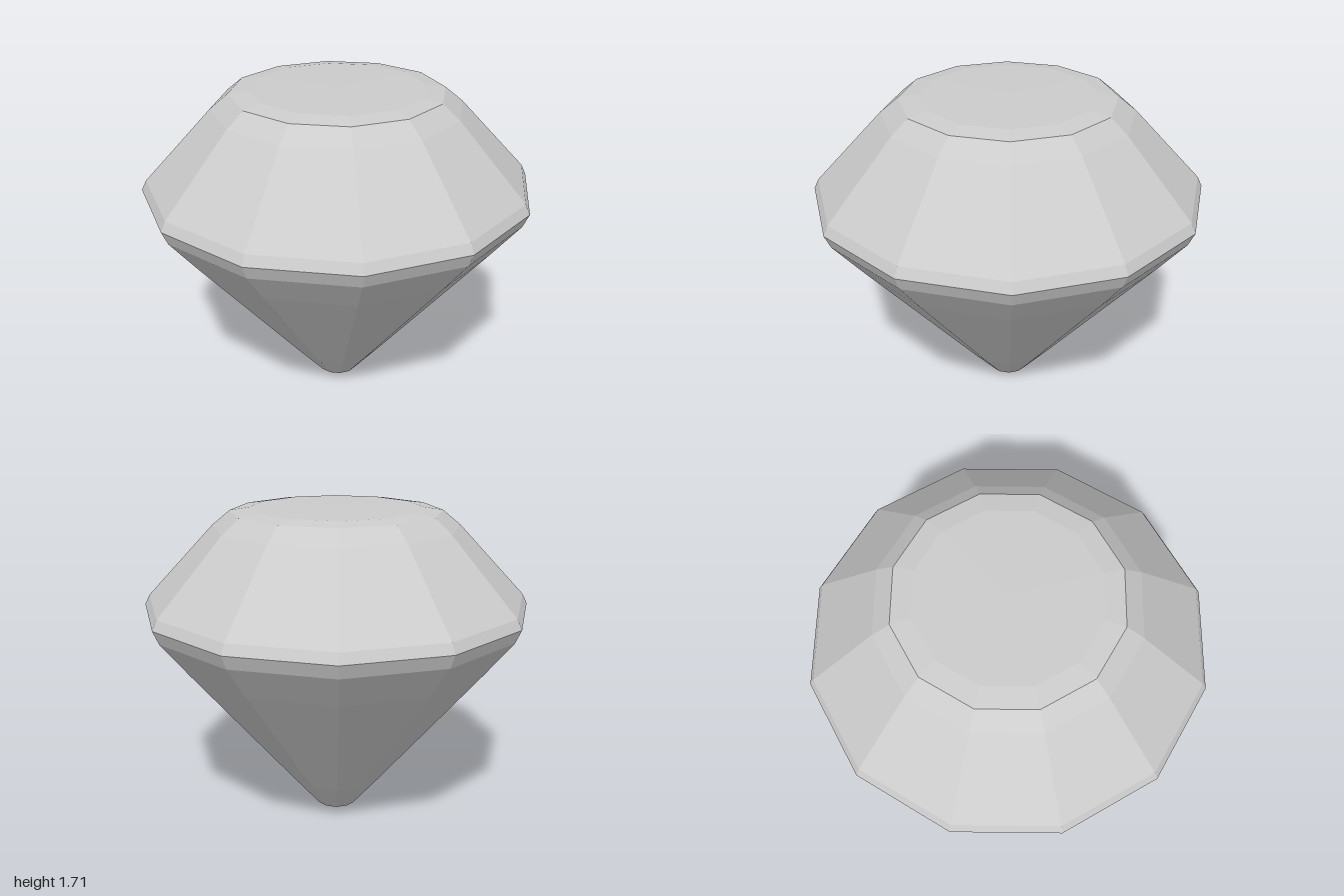
import * as THREE from 'three';

const SIDES = 12;

// Faceted ring solid from a [radius, height] profile, listed bottom to top
function facetedPart(name, profile, material) {
  const points = profile.map(([r, y]) => new THREE.Vector2(r, y));
  const mesh = new THREE.Mesh(new THREE.LatheGeometry(points, SIDES), material);
  mesh.name = name;
  return mesh;
}

export function createModel() {
  const group = new THREE.Group();
  group.name = 'cutGem';
  const material = new THREE.MeshStandardMaterial({ color: 0xcccccc, flatShading: true });

  // Lower cone with blunted tip and bevelled girdle
  group.add(facetedPart('pavilion', [
    [0, 0], [0.11, 0.06], [0.25, 0.23], [0.83, 0.95], [0.97, 1.13], [1, 1.2],
  ], material));

  // Upper slope and nearly flat table
  group.add(facetedPart('crown', [
    [1, 1.2], [0.975, 1.25], [0.63, 1.615], [0.54, 1.688], [0.44, 1.703], [0, 1.707],
  ], material));

  return group;
}
